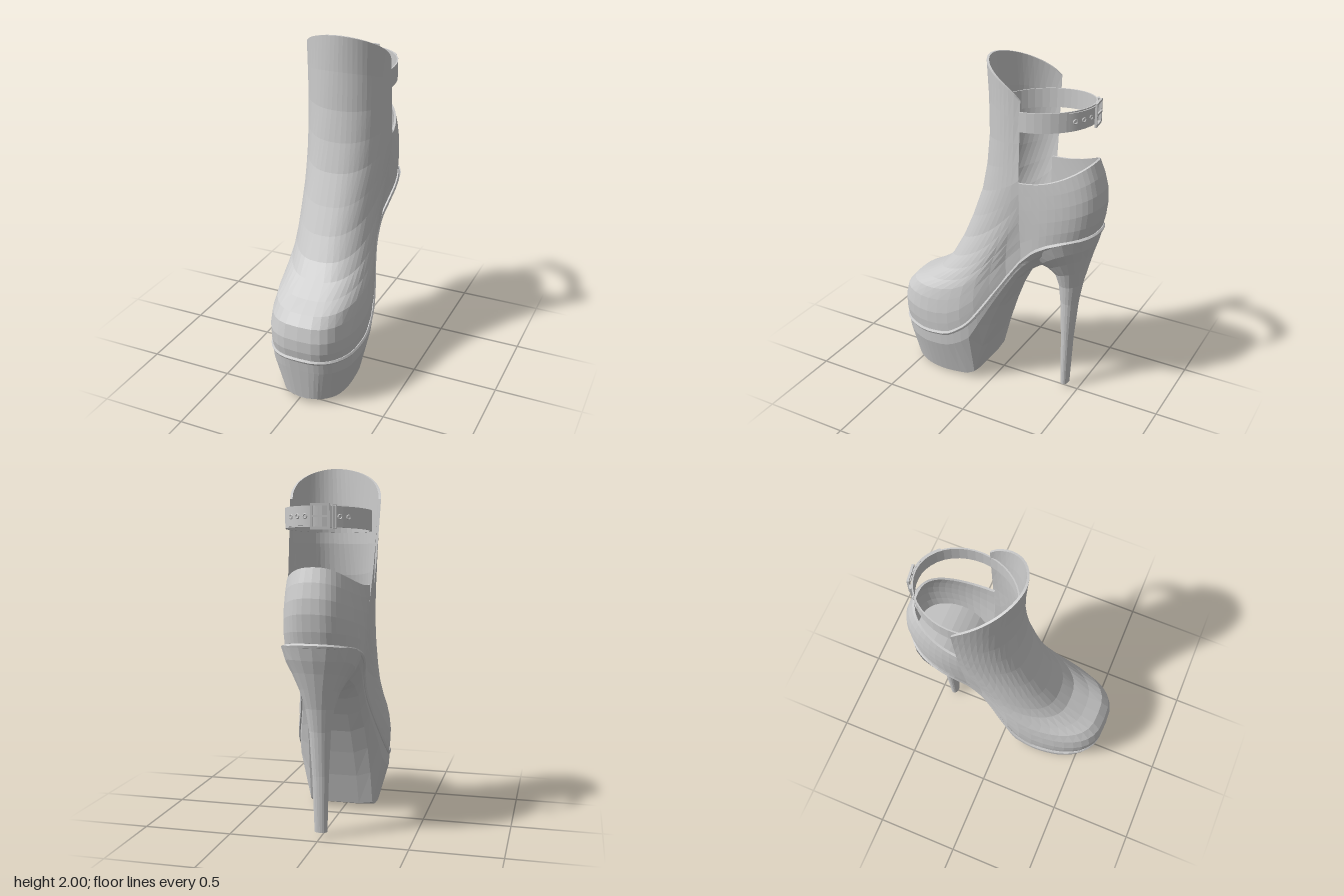
import * as THREE from 'three';

const material = new THREE.MeshStandardMaterial({ color: 0xcccccc, flatShading: true, side: THREE.DoubleSide });

function addMesh(parent, name, geometry) {
  const mesh = new THREE.Mesh(geometry, material);
  mesh.name = name;
  parent.add(mesh);
  return mesh;
}

// Skin a list of cross-sections, each a list of [x, y, z]
function loft(rows, closed = false) {
  const n = rows[0].length, index = [];
  const cols = closed ? n : n - 1;
  for (let i = 0; i < rows.length - 1; i++) {
    for (let j = 0; j < cols; j++) {
      const a = i * n + j, b = i * n + (j + 1) % n;
      index.push(a, b, a + n, b, b + n, a + n);
    }
  }
  const geometry = new THREE.BufferGeometry();
  geometry.setAttribute('position', new THREE.Float32BufferAttribute(rows.flat(2), 3));
  geometry.setIndex(index);
  geometry.computeVertexNormals();
  return geometry;
}

// Linear lookup in a table of [z, value], z falling
function lookup(table, z) {
  for (let i = 1; i < table.length; i++) {
    const [z0, v0] = table[i - 1], [z1, v1] = table[i];
    if (z >= z1) return v0 + (v1 - v0) * Math.min(1, Math.max(0, (z0 - z) / (z0 - z1)));
  }
  return table[table.length - 1][1];
}

const footbed = [[0.61, 0.31], [0.4, 0.297], [0.25, 0.32], [0.18, 0.36], [0.11, 0.415], [0.05, 0.49], [-0.02, 0.6],
  [-0.1, 0.725], [-0.2, 0.87], [-0.3, 0.975], [-0.38, 1.025], [-0.45, 1.05], [-0.6, 1.085]];
const underside = [[0.61, 0.03], [0.45, 0.005], [0.3, 0], [0.1, 0.02], [0.03, 0.27], [-0.07, 0.535], [-0.18, 0.75],
  [-0.26, 0.806], [-0.34, 0.84], [-0.45, 0.95], [-0.6, 1.05]];
const footHeight = z => lookup(footbed, z);

// Share of the width lost where the arch of the foot narrows
const waist = z => 0.24 * Math.exp(-(((z + 0.13) / 0.17) ** 2));

// Plan of the foot: t = -PI/2 at the heel, PI/2 at the toe
function plan(t) {
  const s = Math.sin(t), c = Math.max(0, Math.cos(t));
  const z = -0.21 + (s > 0 ? 0.815 : 0.385) * s;
  const half = 0.235 * (s > 0 ? c ** 0.67 * (1 + 0.49 * s) : c ** 0.75);
  return { z, half: half * (1 - waist(z)), cx: 0.03 * Math.max(0, s) };
}

// Thin shell whose sections swing from one side edge round the centre line to the other.
// Row: [centre z, centre y, edge y, footbed blend, half width, roundness, bulge, edge x shift, centre x shift]
function shell(rows, edgeZ, power) {
  const [z0, y0, e0] = rows[0];
  const section = ([cz, cy, ey, blend, half, round, bulge, edgeX, centreX], inset) => {
    const points = [];
    for (let j = 0; j <= 28; j++) {
      const a = Math.PI * j / 28, s = Math.sin(a), c = Math.cos(a);
      const follow = (footHeight(edgeZ + (z0 - edgeZ) * s) - e0) / (y0 - e0);
      const f = blend * follow + (1 - blend) * s ** power;
      const z = edgeZ + (cz - Math.sign(cz - edgeZ) * inset - edgeZ) * s;
      const width = (half - inset) * (1 + bulge * s) * (1 - blend * waist(z));
      points.push([
        edgeX + (centreX - edgeX) * s + Math.sign(c) * Math.abs(c) ** round * width,
        ey + (cy - ey) * f,
        z,
      ]);
    }
    return points;
  };
  const outer = rows.map(r => section(r, 0));
  const inner = rows.map(r => section(r, 0.013)).reverse();
  return loft([...outer, ...inner]);
}

export function createModel() {
  const shoe = new THREE.Group();
  shoe.name = 'platformShoe';

  // Front upper, from the toe box up to the tall shin guard
  addMesh(shoe, 'frontUpper', shell([
    [0.602, 0.31, 0.87, 1, 0.235, 0.67, 0.47, 0, 0.03],
    [0.615, 0.37, 0.89, 1, 0.238, 0.67, 0.48, 0, 0.03],
    [0.617, 0.44, 0.92, 0.98, 0.24, 0.67, 0.48, 0, 0.03],
    [0.6, 0.52, 0.97, 0.9, 0.24, 0.68, 0.43, 0, 0.03],
    [0.555, 0.575, 1.02, 0.75, 0.24, 0.7, 0.37, 0, 0.03],
    [0.47, 0.62, 1.08, 0.6, 0.24, 0.72, 0.28, 0, 0.025],
    [0.37, 0.685, 1.14, 0.42, 0.24, 0.74, 0.19, 0, 0.02],
    [0.3, 0.77, 1.19, 0.3, 0.24, 0.76, 0.12, 0, 0.01],
    [0.23, 0.9, 1.24, 0.2, 0.24, 0.78, 0.06, 0, 0],
    [0.165, 1.05, 1.31, 0.1, 0.242, 0.8, 0.02, 0, 0],
    [0.1, 1.23, 1.39, 0, 0.244, 0.83, 0, -0.003, 0],
    [0.065, 1.4, 1.49, 0, 0.247, 0.88, 0, -0.01, 0.005],
    [0.047, 1.58, 1.6, 0, 0.249, 0.95, 0, -0.016, 0.012],
    [0.05, 1.8, 1.71, 0, 0.251, 1.02, 0, -0.022, 0.02],
    [0.062, 2.0, 1.83, 0, 0.253, 1.08, 0, -0.028, 0.03],
  ], -0.21, 0.78));

  // Heel counter
  addMesh(shoe, 'heelCounter', shell([
    [-0.588, 1.085, 0.86, 1, 0.23, 0.74, 0, 0, 0],
    [-0.605, 1.16, 0.99, 0.85, 0.233, 0.73, 0, 0, 0],
    [-0.615, 1.25, 1.11, 0.55, 0.232, 0.73, 0, 0, 0],
    [-0.61, 1.33, 1.21, 0.3, 0.229, 0.74, 0, 0, 0],
    [-0.59, 1.41, 1.3, 0.12, 0.225, 0.76, 0, 0, 0],
    [-0.56, 1.485, 1.37, 0, 0.221, 0.8, 0, 0, 0],
  ], -0.195, 2.2));

  // Insole
  const insole = [];
  for (let i = 0; i <= 32; i++) {
    const { z, half, cx } = plan(Math.PI * (i / 32 - 0.5));
    const y = footHeight(z) + 0.012;
    insole.push([[cx - half * 0.96, y, z], [cx + half * 0.96, y, z]]);
  }
  addMesh(shoe, 'insole', loft(insole));

  // Welt round the edge of the footbed
  const rim = [];
  for (let i = 0; i < 64; i++) {
    const a = 2 * Math.PI * i / 64;
    const { z, half, cx } = plan(Math.asin(Math.sin(a)));
    rim.push(new THREE.Vector3(cx + Math.sign(Math.cos(a)) * half * 0.985, footHeight(z) - 0.002, z * 0.99));
  }
  addMesh(shoe, 'welt', new THREE.TubeGeometry(new THREE.CatmullRomCurve3(rim, true), 96, 0.013, 6, true));

  // Platform and shank in one piece, sliced from heel seat to toe; the shank is rounded underneath
  const slices = [];
  for (let i = 0; i <= 36; i++) {
    const { z, half, cx } = plan(-0.8 + (Math.PI / 2 + 0.8) * i / 36);
    const top = footHeight(z) - 0.01, bottom = lookup(underside, z), depth = top - bottom;
    const lean = 0.045 * THREE.MathUtils.smoothstep(z, 0.3, 0.61);
    const shank = 1 - THREE.MathUtils.smoothstep(z, -0.08, 0.13);
    const seat = 1 - THREE.MathUtils.smoothstep(z, -0.36, -0.15);
    const side = [
      [half, top, z],
      [half * (0.98 - 0.1 * seat), top - 0.25 * depth, z - lean * 0.25],
      [half * (0.74 + 0.08 * shank - 0.27 * seat), bottom + (0.02 + 0.26 * shank) * depth, z - lean],
      [half * (0.42 - 0.18 * seat), bottom + 0.05 * shank * depth, z - lean],
    ];
    slices.push([
      ...side.map(([x, y, d]) => [cx + x, y, d]),
      ...side.reverse().map(([x, y, d]) => [cx - x, y, d]),
    ]);
  }
  addMesh(shoe, 'platformSole', loft(slices, true));

  // Stiletto heel flaring into the heel seat: [front y, front z, back y, back z, half width, bow]
  const heel = [
    [0.03, -0.417, 0.03, -0.419, 0.001, 0],
    [0.03, -0.393, 0.03, -0.442, 0.036, 0],
    [0.35, -0.388, 0.35, -0.458, 0.046, 0],
    [0.6, -0.378, 0.6, -0.481, 0.06, 0],
    [0.71, -0.368, 0.73, -0.503, 0.078, 0],
    [0.775, -0.35, 0.84, -0.53, 0.11, 0.01],
    [0.81, -0.31, 0.93, -0.553, 0.15, 0.025],
    [0.825, -0.265, 1.0, -0.575, 0.188, 0.045],
    [0.85, -0.22, 1.07, -0.592, 0.216, 0.07],
  ].map(([fy, fz, by, bz, half, bow]) => Array.from({ length: 20 }, (_, j) => {
    const a = 2 * Math.PI * j / 20, u = (1 - Math.cos(a)) / 2, s = Math.sin(a);
    return [half * Math.sign(s) * Math.abs(s) ** 0.9, fy + (by - fy) * u + 4 * bow * u * (1 - u), fz + (bz - fz) * u];
  }));
  addMesh(shoe, 'heel', loft(heel, true));

  // Ankle strap, a flat band rising slightly to the back
  const strap = new THREE.Group();
  strap.name = 'ankleStrap';
  shoe.add(strap);
  const bandPoint = (a, out) => {
    const z = -0.252 - (0.27 + out) * Math.cos(a);
    return [-0.004 + (0.222 + out) * Math.sin(a), 1.715 - 0.085 * (z + 0.2), z];
  };
  const band = (from, to, out, height) => {
    const rows = [];
    for (let i = 0; i <= 40; i++) {
      const a = from + (to - from) * i / 40;
      rows.push([[0, -1], [0, 1], [1, 1], [1, -1]].map(([o, v]) => {
        const [x, y, z] = bandPoint(a, out + o * 0.008);
        return [x, y + v * height, z];
      }));
    }
    return loft(rows, true);
  };
  addMesh(strap, 'band', band(0, 2 * Math.PI, 0, 0.054));
  addMesh(strap, 'strapEnd', band(-0.1, 0.75, 0.01, 0.048));

  // Hardware sits on the band at a given angle, facing outward
  const place = (object, a, out) => {
    object.position.set(...bandPoint(a, out));
    object.rotation.y = Math.atan2(Math.sin(a) / 0.222, -Math.cos(a) / 0.27);
    return object;
  };
  for (const a of [0.22, 0.42, 0.62, -0.55, -0.75]) {
    place(addMesh(strap, 'eyelet', new THREE.TorusGeometry(0.011, 0.004, 4, 8)), a, a > 0 ? 0.019 : 0.009);
  }

  // Buckle: frame, prong and keeper loop
  const frame = (w, h, border) => {
    const box = (x, y, Type) => new Type([[-x, -y], [x, -y], [x, y], [-x, y]].map(p => new THREE.Vector2(...p)));
    const shape = box(w, h, THREE.Shape);
    shape.holes.push(box(w - border, h - border, THREE.Path));
    return new THREE.ExtrudeGeometry(shape, { depth: 0.012, bevelEnabled: false });
  };
  place(addMesh(strap, 'buckleFrame', frame(0.05, 0.066, 0.013)), -0.12, 0.014);
  place(addMesh(strap, 'buckleProng', new THREE.BoxGeometry(0.09, 0.012, 0.01)), -0.1, 0.024);
  place(addMesh(strap, 'keeperLoop', frame(0.012, 0.062, 0.004)), -0.42, 0.006);

  return shoe;
}
